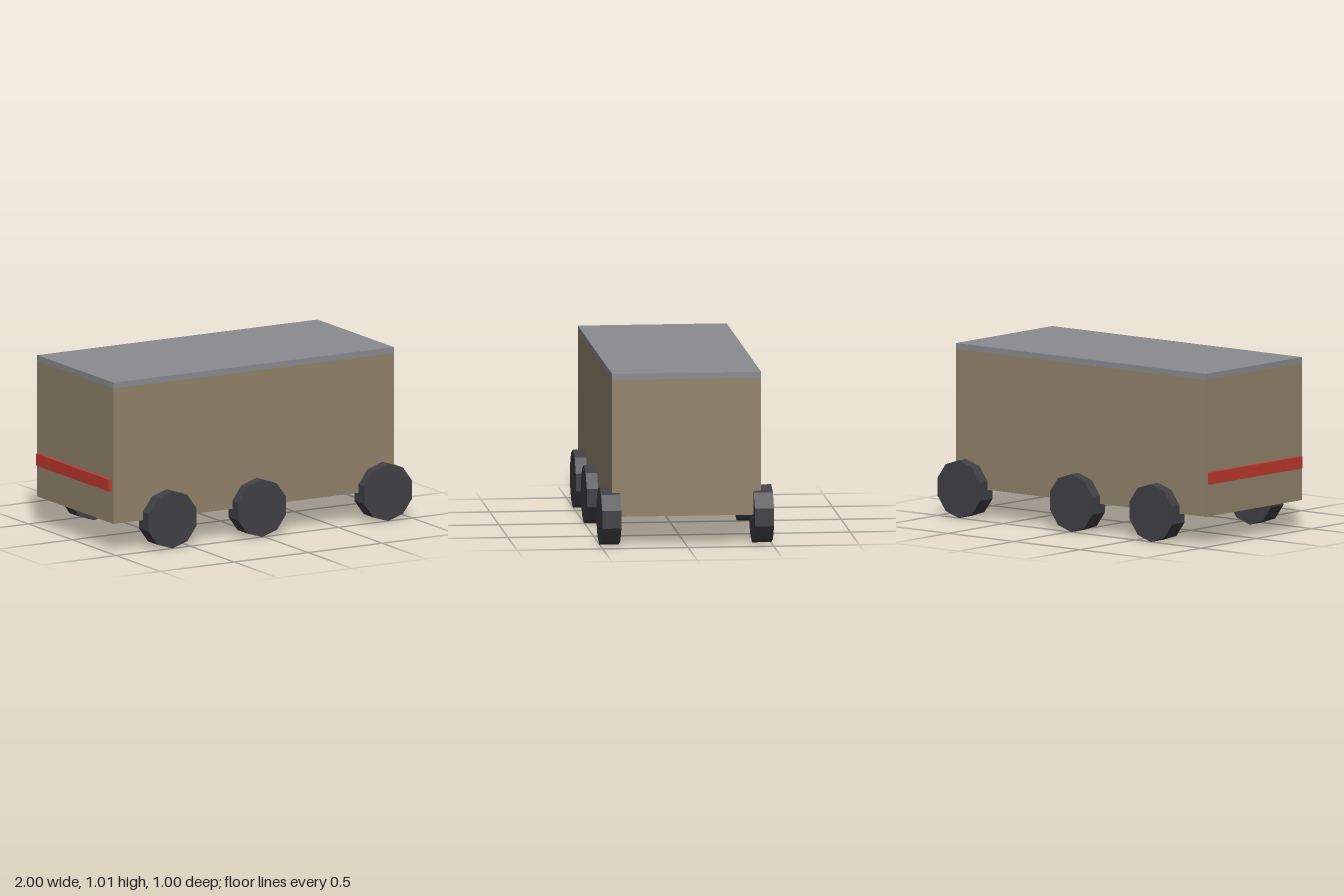
import * as THREE from 'three';

const material = (name, color) => {
  const m = new THREE.MeshStandardMaterial({ color });
  m.name = name;
  return m;
};

export function createModel() {
  const tan = material('tan body', 0x93846c);
  const grey = material('roof grey', 0x8b8c90);
  const dark = material('tyre dark grey', 0x414045);
  dark.flatShading = true;
  const red = material('bumper red', 0xc0392f);

  const group = new THREE.Group();
  group.name = 'wagon';

  // box given by its lower and upper corners
  const box = (name, mat, [x0, y0, z0], [x1, y1, z1]) => {
    const mesh = new THREE.Mesh(new THREE.BoxGeometry(x1 - x0, y1 - y0, z1 - z0), mat);
    mesh.position.set((x0 + x1) / 2, (y0 + y1) / 2, (z0 + z1) / 2);
    mesh.name = name;
    group.add(mesh);
  };

  box('body', tan, [-0.98, 0.175, -0.435], [0.915, 0.98, 0.435]);
  box('roof', grey, [-0.98, 0.98, -0.435], [0.915, 1.015, 0.435]);
  box('bumper', red, [-1, 0.365, -0.415], [-0.98, 0.435, 0.415]);

  // three pairs of ten-sided wheels
  const wheelGeometry = new THREE.CylinderGeometry(0.17, 0.17, 0.112, 10).rotateX(Math.PI / 2);
  const axles = { rear: -0.62, middle: -0.015, front: 0.837 };
  for (const [axle, x] of Object.entries(axles)) {
    for (const side of [-1, 1]) {
      const wheel = new THREE.Mesh(wheelGeometry, dark);
      wheel.position.set(x, 0.171, side * 0.446);
      wheel.name = `${axle}Wheel${side > 0 ? 'Near' : 'Far'}`;
      group.add(wheel);
    }
  }
  return group;
}
